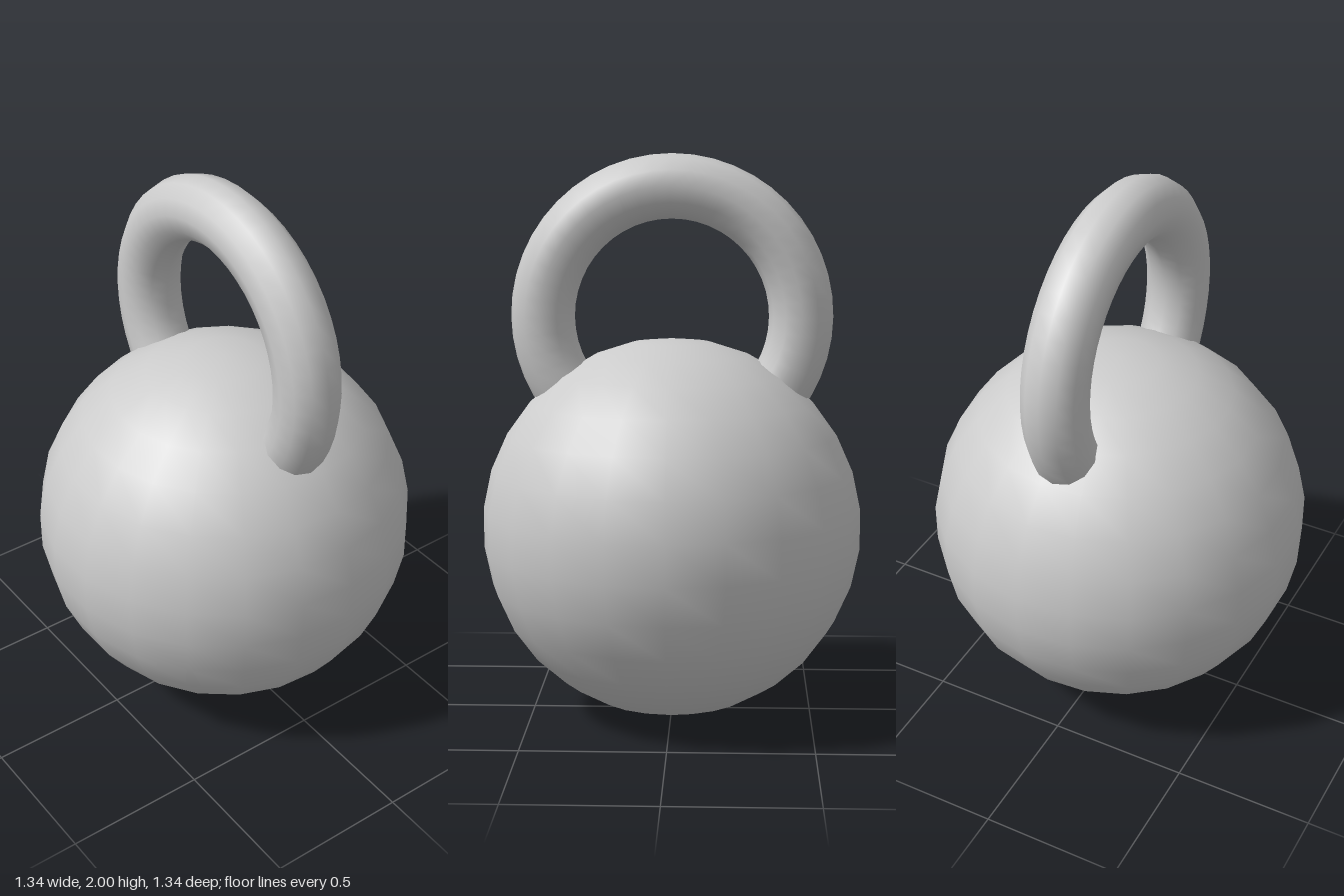
import * as THREE from 'three';

export function createModel() {
  const model = new THREE.Group();
  const material = new THREE.MeshStandardMaterial({ color: 0xcccccc });

  const addPart = (name, geometry, y) => {
    const mesh = new THREE.Mesh(geometry, material);
    mesh.name = name;
    mesh.position.y = y;
    model.add(mesh);
    return mesh;
  };

  // Round weight, with one meridian facing straight back
  const ball = addPart('ball', new THREE.SphereGeometry(0.675, 21, 15), 0.68);
  ball.rotation.y = -Math.PI / 2;

  // Ring handle, its lower part sunk into the ball
  addPart('handle', new THREE.TorusGeometry(0.455, 0.113, 12, 48), 1.432);

  return model;
}
